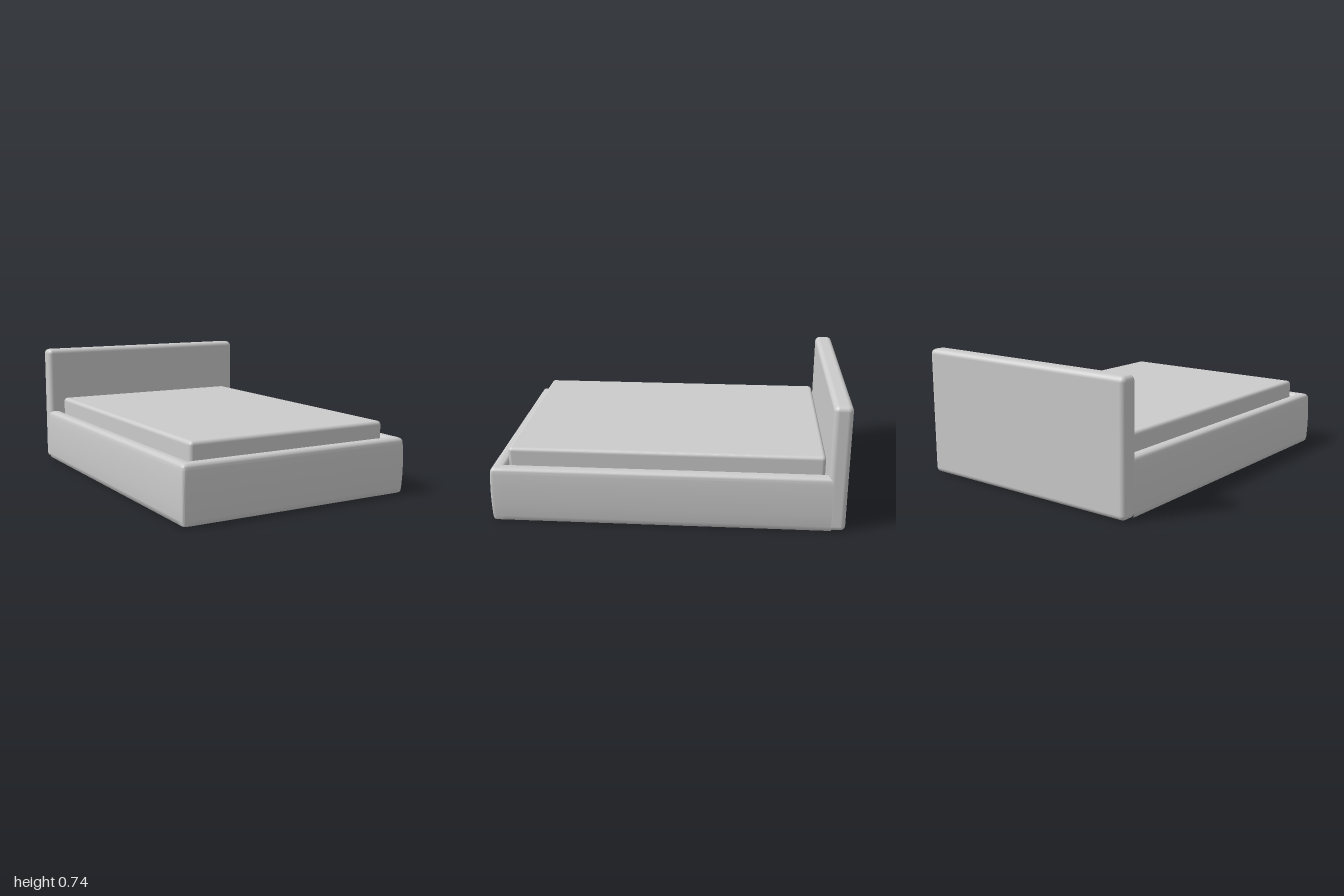
import * as THREE from 'three';
import { RoundedBoxGeometry } from 'three/addons/geometries/RoundedBoxGeometry.js';
import { toCreasedNormals } from 'three/addons/utils/BufferGeometryUtils.js';

const INNER_X = 0.635, INNER_Z = 0.912, BACK_Z = -0.92;

// Upholstered rail cross-section: [outward offset, height], with soft bulging outer face
function railProfile() {
  const p = [[0.006, 0], [0.066, 0], [0.073, 0.006], [0.077, 0.03], [0.08, 0.1], [0.081, 0.16], [0.08, 0.22], [0.077, 0.285]];
  const arc = (cx, cy, rx, ry, from, to) => {
    for (let i = 0; i <= 6; i++) {
      const a = from + (to - from) * i / 6;
      p.push([cx + rx * Math.cos(a), cy + ry * Math.sin(a)]);
    }
  };
  arc(0.051, 0.293, 0.025, 0.027, 0, Math.PI / 2);
  arc(0.025, 0.293, 0.025, 0.027, Math.PI / 2, Math.PI);
  p.push([0, 0.006], [0.006, 0]);
  return p;
}

// Stations round the open U of the frame; corners are tight, slightly rounded mitres
function railStations() {
  const s = [{ x: INNER_X, z: BACK_Z, dx: 1, dz: 0 }];
  const steps = 12;
  for (const side of [1, -1]) {
    for (let i = 0; i <= steps; i++) {
      const t = (side > 0 ? i : steps - i) / steps * Math.PI / 2;
      s.push({
        x: side * INNER_X, z: INNER_Z,
        dx: side * Math.pow(Math.max(0, Math.cos(t)), 0.2),
        dz: Math.pow(Math.max(0, Math.sin(t)), 0.2),
      });
    }
  }
  s.push({ x: -INNER_X, z: BACK_Z, dx: -1, dz: 0 });
  return s;
}

function sweepRail() {
  const profile = railProfile(), stations = railStations(), n = profile.length;
  const position = [], index = [];
  for (const s of stations)
    for (const [o, y] of profile) position.push(s.x + s.dx * o, y, s.z + s.dz * o);
  for (let j = 0; j < stations.length - 1; j++)
    for (let i = 0; i < n - 1; i++) {
      const a = j * n + i, b = a + 1, c = a + n, d = c + 1;
      index.push(a, b, c, b, d, c);
    }
  const g = new THREE.BufferGeometry();
  g.setAttribute('position', new THREE.Float32BufferAttribute(position, 3));
  g.setIndex(index);
  return toCreasedNormals(g, 0.7);
}

export function createModel() {
  const bed = new THREE.Group();
  bed.name = 'bed';
  const material = new THREE.MeshStandardMaterial({ color: 0xcccccc });
  const add = (name, geometry, x = 0, y = 0, z = 0) => {
    const mesh = new THREE.Mesh(geometry, material);
    mesh.name = name;
    mesh.position.set(x, y, z);
    bed.add(mesh);
  };

  // Side rails and foot rail in one continuous band
  add('frameRails', sweepRail());

  // Padded headboard standing on the floor
  add('headboard', new RoundedBoxGeometry(1.42, 0.735, 0.105, 5, 0.03), 0, 0.3675, -0.9475);

  // Mattress resting inside the frame, open underneath
  add('mattress', new RoundedBoxGeometry(1.245, 0.16, 1.78, 5, 0.022), 0, 0.33, 0.01);

  return bed;
}
